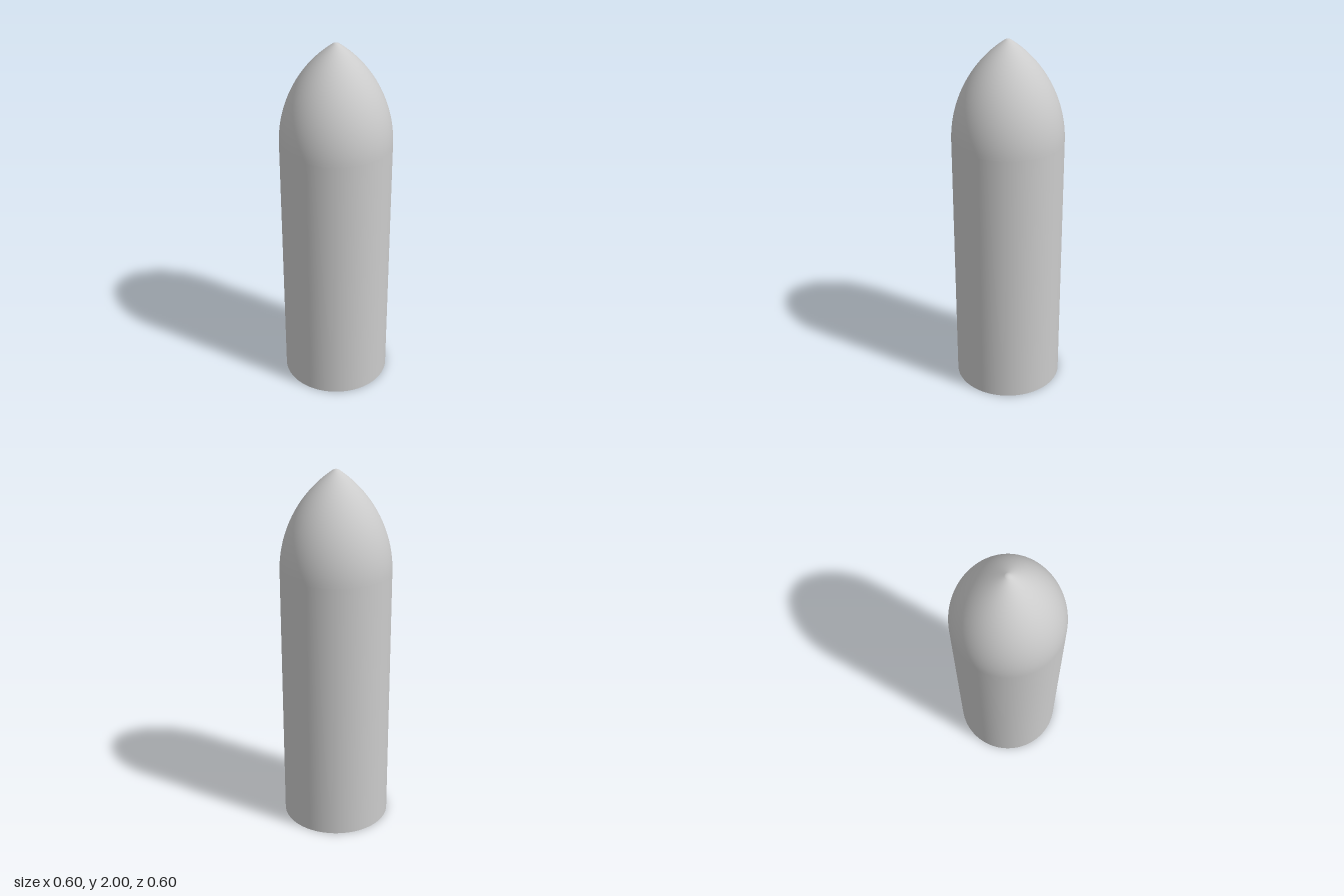
import * as THREE from 'three';

const material = new THREE.MeshStandardMaterial({ color: 0xcccccc });
const SEGMENTS = 128;
const BODY_TOP = 1.46, RADIUS = 0.3, APEX = 2.006;
const WALL = 0.03, SOCKET_RADIUS = 0.287, SOCKET_DEPTH = 0.21;

// Pointed arch from the top of the straight wall to the axis, set in by `inset`
function ogive(inset, endX, steps) {
  const length = APEX - BODY_TOP;
  const arcRadius = (RADIUS * RADIUS + length * length) / (2 * RADIUS);
  const centreX = RADIUS - arcRadius, r = arcRadius - inset;
  const end = Math.acos((endX - centreX) / r);
  return Array.from({ length: steps + 1 }, (_, i) => {
    const a = (end * i) / steps;
    return new THREE.Vector2(centreX + r * Math.cos(a), BODY_TOP + r * Math.sin(a));
  });
}

function lathe(name, points) {
  const mesh = new THREE.Mesh(new THREE.LatheGeometry(points, SEGMENTS), material);
  mesh.name = name;
  return mesh;
}

const v = (x, y) => new THREE.Vector2(x, y);

export function createModel() {
  const group = new THREE.Group();
  group.name = 'hollowNoseShell';

  // Straight outer wall
  group.add(lathe('outerWall', [v(RADIUS, 0), v(RADIUS, BODY_TOP)]));

  // Curved nose with a small rounded tip
  const nose = ogive(0, 0.016, 40);
  for (let i = 1; i <= 6; i++) {
    const a = THREE.MathUtils.degToRad(57 + (33 * i) / 6);
    nose.push(v(i === 6 ? 0 : 0.03 * Math.cos(a), 1.97 + 0.03 * Math.sin(a)));
  }
  group.add(lathe('nose', nose));

  // Open bottom: rim, wider socket, ledge, then the main cavity (wound to face inward)
  const bore = RADIUS - WALL;
  group.add(lathe('bottomRim', [v(SOCKET_RADIUS, 0), v(RADIUS, 0)]));
  group.add(lathe('socketWall', [v(SOCKET_RADIUS, SOCKET_DEPTH), v(SOCKET_RADIUS, 0)]));
  group.add(lathe('socketLedge', [v(bore, SOCKET_DEPTH), v(SOCKET_RADIUS, SOCKET_DEPTH)]));
  group.add(lathe('cavityWall', [v(bore, BODY_TOP), v(bore, SOCKET_DEPTH)]));
  group.add(lathe('cavityNose', ogive(WALL, 0, 32).reverse()));

  // Slim key rib along the socket wall
  const rib = new THREE.Mesh(new THREE.BoxGeometry(0.018, SOCKET_DEPTH - 0.005, 0.012), material);
  rib.name = 'keyRib';
  rib.position.set(-0.015, SOCKET_DEPTH / 2 + 0.0025, SOCKET_RADIUS - 0.002);
  group.add(rib);

  return group;
}
